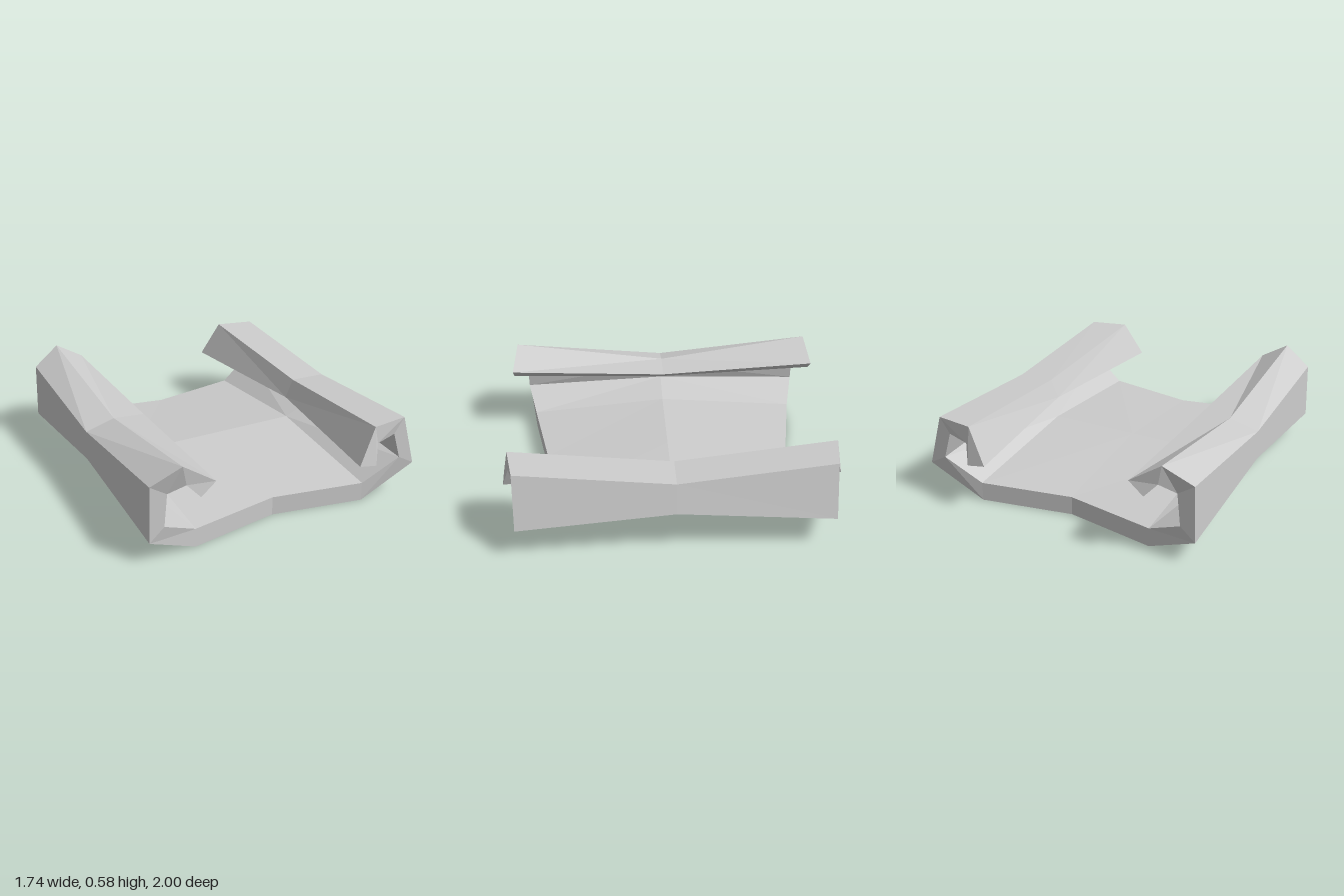
import * as THREE from 'three';

// Strip profile from left curl tip to right curl tip.
// Each station: [x, y at the end, z at the end, x, y at the middle]
const outer = [
  [-0.51, 0.47, 1.0, -0.485, 0.435],
  [-0.69, 0.585, 0.97, -0.68, 0.45],
  [-0.86, 0.48, 0.92, -0.86, 0.4],
  [-0.87, 0.14, 0.92, -0.865, 0.22],
  [-0.57, 0.005, 0.87, -0.57, 0.14],
  [-0.02, 0.005, 0.77, -0.02, 0.14],
  [0.54, 0.005, 0.87, 0.54, 0.14],
  [0.865, 0.205, 0.92, 0.855, 0.275],
  [0.775, 0.525, 0.92, 0.805, 0.445],
  [0.54, 0.53, 0.96, 0.58, 0.45],
  [0.42, 0.32, 1.0, 0.53, 0.335],
];
const inner = [
  [-0.6, 0.395, 1.0, -0.58, 0.37],
  [-0.67, 0.47, 0.97, -0.67, 0.395],
  [-0.76, 0.415, 0.92, -0.76, 0.37],
  [-0.78, 0.22, 0.92, -0.79, 0.25],
  [-0.57, 0.12, 0.87, -0.57, 0.195],
  [-0.02, 0.12, 0.77, -0.02, 0.195],
  [0.54, 0.12, 0.87, 0.54, 0.195],
  [0.76, 0.265, 0.92, 0.77, 0.295],
  [0.71, 0.43, 0.92, 0.72, 0.39],
  [0.565, 0.42, 0.96, 0.59, 0.345],
  [0.535, 0.3, 1.0, 0.64, 0.315],
];

const endPoint = ([x, y, z]) => [x, y, z];
const midPoint = (s) => [s[3], s[4], 0];

function curledSheetGeometry() {
  const positions = [];
  // Every quad is added together with its mirror image across z = 0
  const quad = (a, b, c, d) => {
    positions.push(...[a, b, c, a, c, d].flat());
    const m = [a, b, c, d].map(([x, y, z]) => [x, y, -z]);
    positions.push(...[m[0], m[2], m[1], m[0], m[3], m[2]].flat());
  };

  // Skin around the closed cross-section, from the end to the middle
  const loop = [...outer, ...inner.slice().reverse()];
  loop.forEach((s, i) => {
    const t = loop[(i + 1) % loop.length];
    quad(endPoint(s), midPoint(s), midPoint(t), endPoint(t));
  });

  // Cut edge of the sheet at each end
  for (let i = 0; i < outer.length - 1; i++) {
    quad(endPoint(outer[i]), endPoint(outer[i + 1]), endPoint(inner[i + 1]), endPoint(inner[i]));
  }

  const geometry = new THREE.BufferGeometry();
  geometry.setAttribute('position', new THREE.Float32BufferAttribute(positions, 3));
  geometry.computeVertexNormals();
  return geometry;
}

export function createModel() {
  const group = new THREE.Group();
  group.name = 'scroll';
  const material = new THREE.MeshStandardMaterial({ color: 0xcccccc, flatShading: true });
  const sheet = new THREE.Mesh(curledSheetGeometry(), material);
  sheet.name = 'curledSheet';
  group.add(sheet);
  return group;
}
